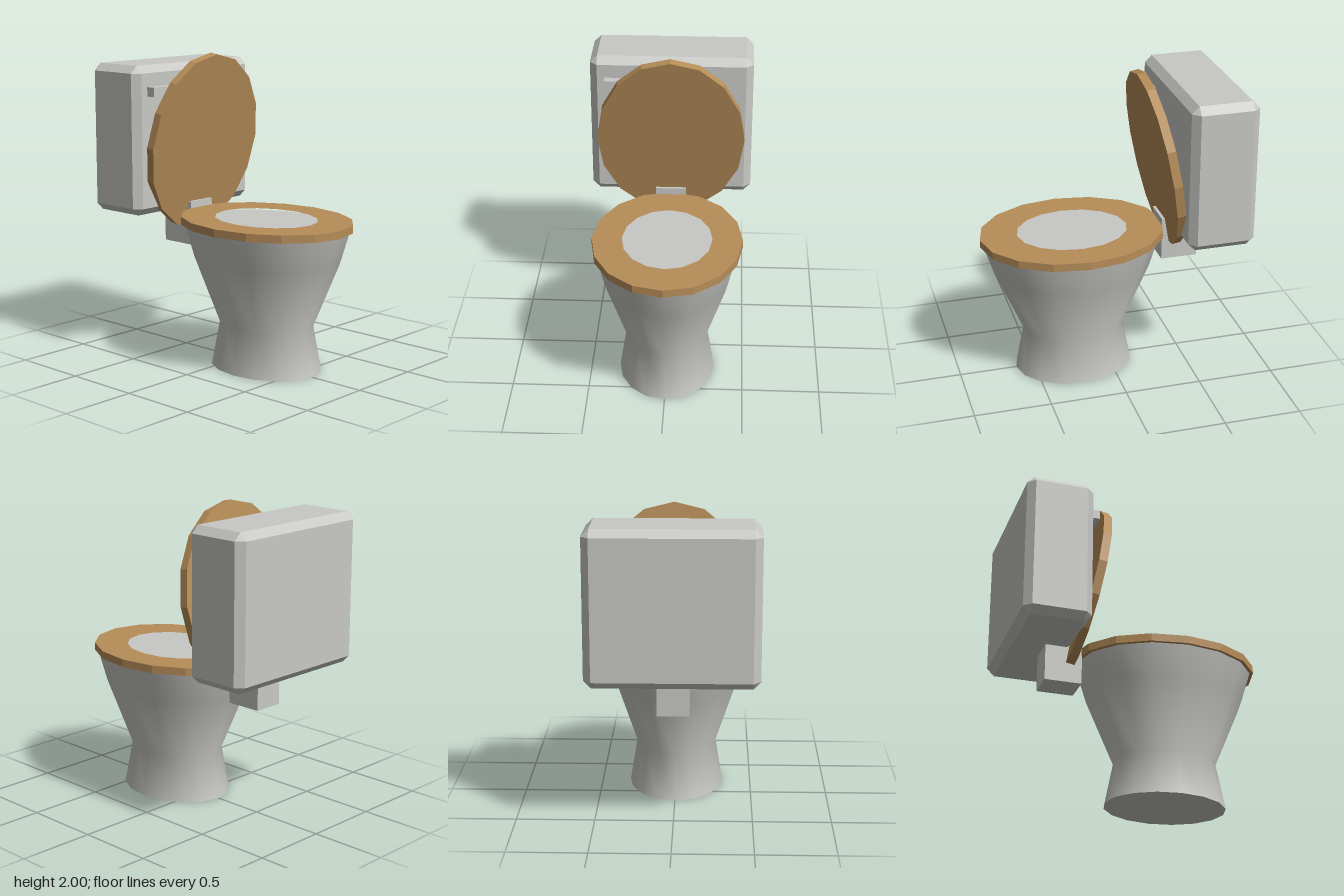
import * as THREE from 'three';
import { ConvexGeometry } from 'three/addons/geometries/ConvexGeometry.js';

const SIDES = 16;
const BOWL_Z = 0.23;   // centre of bowl and seat
const STRETCH = 1.255; // ovals are longer in z than in x

// Corner points of an oval, starting on its long axis
function oval(rx, ry) {
  return Array.from({ length: SIDES }, (_, i) => {
    const a = (i / SIDES) * Math.PI * 2;
    return new THREE.Vector2(Math.sin(a) * rx, Math.cos(a) * ry);
  });
}

// Box with every edge chamfered by b
function chamferedBox(w, h, d, b) {
  const points = [];
  for (const x of [-w / 2, w / 2]) for (const y of [-h / 2, h / 2]) for (const z of [-d / 2, d / 2]) {
    const ix = x - Math.sign(x) * b, iy = y - Math.sign(y) * b, iz = z - Math.sign(z) * b;
    points.push(new THREE.Vector3(x, iy, iz), new THREE.Vector3(ix, y, iz), new THREE.Vector3(ix, iy, z));
  }
  return new ConvexGeometry(points);
}

export function createModel() {
  const group = new THREE.Group();
  const ceramic = new THREE.MeshStandardMaterial({ color: 0xc8c8c5 });
  ceramic.name = 'ceramic';
  const wood = new THREE.MeshStandardMaterial({ color: 0xb68d58 });
  wood.name = 'wood';

  const add = (name, geometry, material, x, y, z) => {
    const mesh = new THREE.Mesh(geometry, material);
    mesh.name = name;
    mesh.position.set(x, y, z);
    group.add(mesh);
    return mesh;
  };

  // Waisted oval pedestal, with flat ends
  const profile = [[0.312, 0], [0.265, 0.29], [0.41, 0.72], [0.462, 0.93]].map(p => new THREE.Vector2(...p));
  add('bowl', new THREE.LatheGeometry(profile, SIDES), ceramic, 0, 0, BOWL_Z).scale.z = STRETCH;
  const disc = (r, turn) => new THREE.ShapeGeometry(new THREE.Shape(oval(r, r * STRETCH))).rotateX(turn);
  add('bowlFoot', disc(0.312, Math.PI / 2), ceramic, 0, 0, BOWL_Z);
  add('bowlTop', disc(0.462, -Math.PI / 2), ceramic, 0, 0.93, BOWL_Z);

  // Oval ring seat
  const ring = new THREE.Shape(oval(0.482, 0.604));
  ring.holes.push(new THREE.Path(oval(0.289, 0.362)));
  const seat = new THREE.ExtrudeGeometry(ring, { depth: 0.05, bevelEnabled: false });
  add('seat', seat.rotateX(-Math.PI / 2), wood, 0, 0.925, BOWL_Z - 0.003);

  // Raised lid, its top leaning forward
  const lidShape = new THREE.Shape(oval(0.482, 0.59));
  const lidGeometry = new THREE.ExtrudeGeometry(lidShape, { depth: 0.056, bevelEnabled: false });
  lidGeometry.translate(0, 0, -0.028);
  add('lid', lidGeometry, wood, 0, 1.415, -0.33).rotation.x = THREE.MathUtils.degToRad(9.8);

  // Tank, its support and the flush handle
  add('tank', chamferedBox(1.06, 0.965, 0.435, 0.047), ceramic, 0, 1.4525, -0.6175);
  add('tankSupport', new THREE.BoxGeometry(0.2, 0.29, 0.24), ceramic, 0, 0.875, -0.47);
  add('flushHandle', new THREE.BoxGeometry(0.193, 0.06, 0.07), ceramic, -0.338, 1.77, -0.375);

  return group;
}
